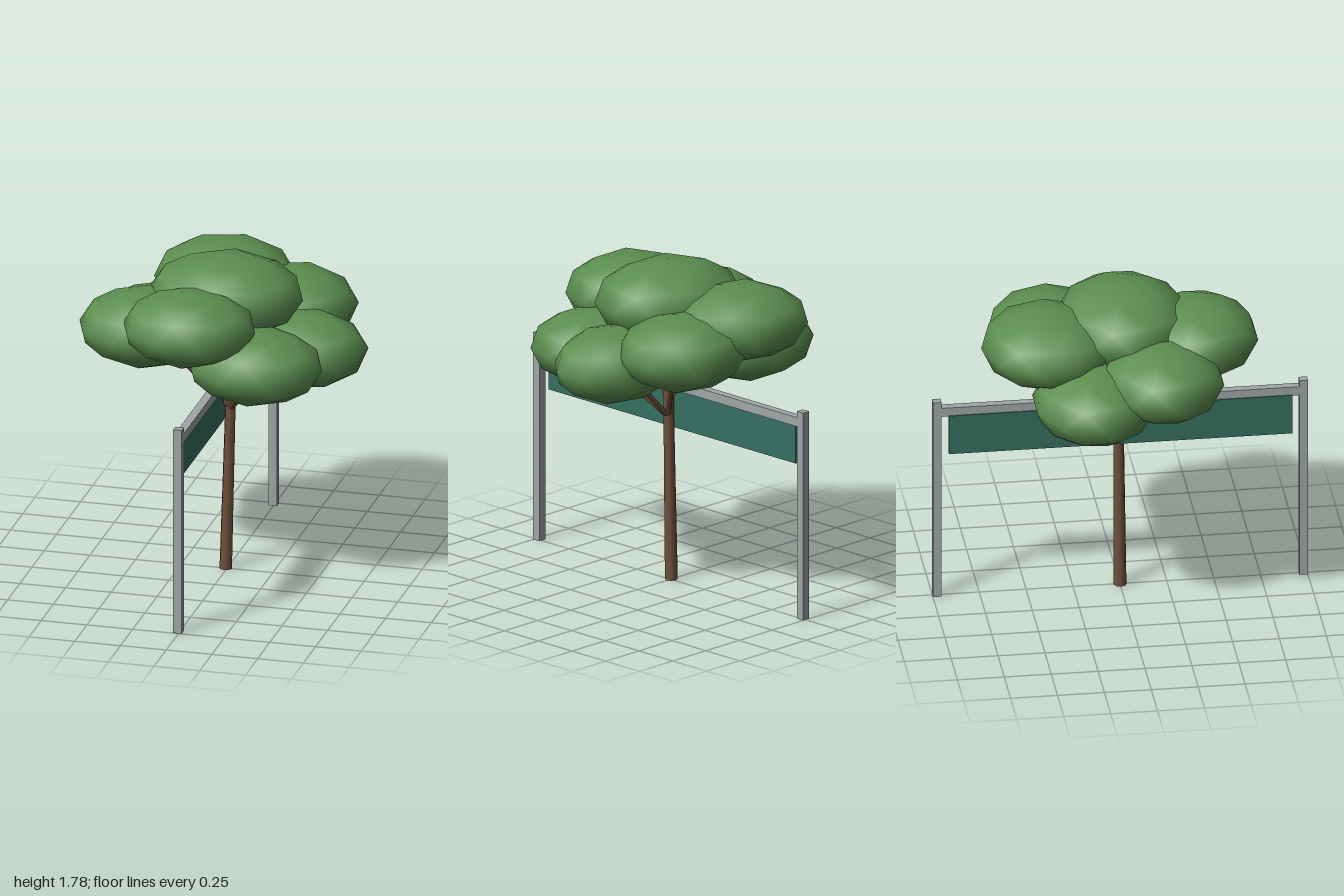
import * as THREE from 'three';

const mat = (name, color, props = {}) => {
  const m = new THREE.MeshStandardMaterial({ color, ...props });
  m.name = name;
  return m;
};

export function createModel() {
  const leaf = mat('leaf green', 0x5c8f50);
  const bark = mat('bark brown', 0x6e513c);
  const steel = mat('post grey', 0xa0a6a6);
  const teal = mat('banner teal', 0x376f60);

  const model = new THREE.Group();
  model.name = 'treeWithBanner';

  const add = (parent, name, geometry, material) => {
    const mesh = new THREE.Mesh(geometry, material);
    mesh.name = name;
    parent.add(mesh);
    return mesh;
  };
  const group = (name) => {
    const g = new THREE.Group();
    g.name = name;
    model.add(g);
    return g;
  };

  // Tapered limb between two points
  const limb = (parent, name, from, to, r0, r1, sides) => {
    const a = new THREE.Vector3(...from), b = new THREE.Vector3(...to);
    const dir = b.clone().sub(a);
    const mesh = add(parent, name, new THREE.CylinderGeometry(r1, r0, dir.length(), sides), bark);
    mesh.position.copy(a).add(b).multiplyScalar(0.5);
    mesh.quaternion.setFromUnitVectors(new THREE.Vector3(0, 1, 0), dir.normalize());
  };

  // Trunk, leaning slightly, and its branches
  const wood = group('wood');
  limb(wood, 'trunk', [-0.007, 0, 0], [0.022, 1.1, -0.006], 0.034, 0.027, 8);
  limb(wood, 'leader', [0.022, 1.09, -0.006], [0.02, 1.5, 0], 0.027, 0.016, 8);
  const fork = [0.02, 0.91, 0];
  [
    [fork, [-0.3, 1.31, 0.17]],
    [fork, [0.34, 1.25, 0.01]],
    [fork, [0.2, 1.2, 0.29]],
    [fork, [0.2, 1.23, -0.22]],
    [[0.02, 1.05, 0], [-0.3, 1.23, -0.18]],
    [[0.02, 1.0, 0], [-0.08, 1.4, -0.3]],
    [[0.02, 1.0, 0], [-0.07, 1.4, 0.3]],
  ].forEach(([from, to]) => limb(wood, 'branch', from, to, 0.015, 0.01, 6));

  // Leaf clumps: centre, radii, turn (0 = points fore and aft, 1 = points sideways)
  const crown = group('crown');
  [
    [[0, 1.56, 0.015], [0.42, 0.215, 0.365], 1],
    [[-0.1, 1.5, 0.4], [0.36, 0.2, 0.325], 1],
    [[-0.115, 1.5, -0.4], [0.38, 0.2, 0.355], 0],
    [[0.26, 1.4, -0.34], [0.36, 0.205, 0.335], 0],
    [[0.4, 1.29, 0.01], [0.37, 0.205, 0.295], 0],
    [[0.24, 1.29, 0.32], [0.365, 0.2, 0.325], 1],
    [[-0.39, 1.395, 0.175], [0.37, 0.205, 0.33], 1],
    [[-0.385, 1.285, -0.19], [0.375, 0.203, 0.33], 1],
  ].forEach(([centre, radii, turn]) => {
    const g = new THREE.IcosahedronGeometry(1, 1);
    g.rotateZ(Math.atan(2 / (1 + Math.sqrt(5)))); // stand on a corner
    g.rotateY(Math.PI + turn * Math.PI / 10);
    g.scale(...radii);
    add(crown, 'leafClump', g, leaf).position.set(...centre);
  });

  // Banner frame behind the trunk
  const frame = group('bannerFrame');
  const px = -0.005;
  for (const s of [1, -1]) {
    add(frame, 'post', new THREE.BoxGeometry(0.046, 1.15, 0.046), steel).position.set(px, 0.575, s * 0.977);
  }
  add(frame, 'crossbeam', new THREE.BoxGeometry(0.046, 0.05, 1.908), steel).position.set(px, 1.09, 0);
  add(frame, 'banner', new THREE.BoxGeometry(0.022, 0.225, 1.83), teal).position.set(-0.023, 0.957, 0);

  return model;
}
